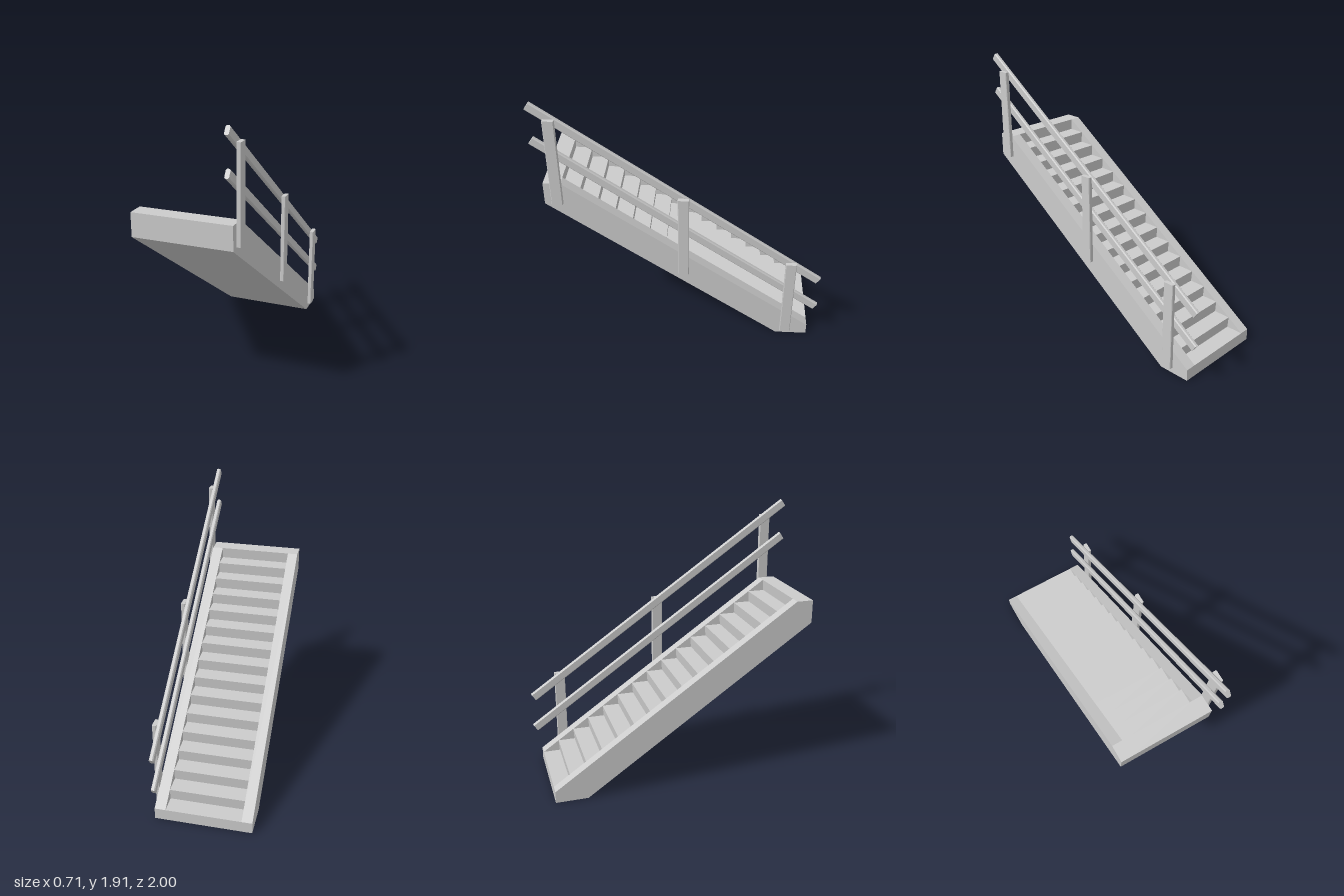
import * as THREE from 'three';

const material = new THREE.MeshStandardMaterial({ color: 0xcccccc, flatShading: true });

// Extrude a (z, y) profile across the width from x0 to x1
function sidePanel(name, points, x0, x1) {
  const shape = new THREE.Shape(points.map(([z, y]) => new THREE.Vector2(z, y)));
  const geo = new THREE.ExtrudeGeometry(shape, { depth: x1 - x0, bevelEnabled: false });
  geo.rotateY(-Math.PI / 2).translate(x1, 0, 0);
  const mesh = new THREE.Mesh(geo, material);
  mesh.name = name;
  return mesh;
}

// Bar running along local z, with chamfered long edges
function bar(name, w, h, length, c) {
  const a = w / 2, b = h / 2;
  const shape = new THREE.Shape([
    [a - c, -b], [a, -b + c], [a, b - c], [a - c, b],
    [-a + c, b], [-a, b - c], [-a, -b + c], [-a + c, -b],
  ].map(([x, y]) => new THREE.Vector2(x, y)));
  const geo = new THREE.ExtrudeGeometry(shape, { depth: length, bevelEnabled: false });
  geo.translate(0, 0, -length / 2);
  const mesh = new THREE.Mesh(geo, material);
  mesh.name = name;
  return mesh;
}

export function createModel() {
  const model = new THREE.Group();
  model.name = 'staircase';

  const zLow = -0.94, zHigh = 0.94, zLanding = 0.82;
  const yFirst = 0.085, yTop = 1.31;
  const xRight = -0.358, xLeft = 0.327, innerRight = -0.283, innerLeft = 0.249;
  const underside = [[zHigh, yTop], [zHigh, 1.145], [-0.71, 0], [zLow, 0], [zLow, yFirst]].reverse();

  // Sloping side stringers
  const stringer = [...underside, [zLanding, yTop]];
  model.add(sidePanel('rightStringer', stringer, xRight, innerRight));
  model.add(sidePanel('leftStringer', stringer, innerLeft, xLeft));

  // Flight of steps sunk between the stringers, ending in the top landing
  const count = 15;
  const run = (zLanding - zLow) / count, rise = (yTop - yFirst) / count;
  const steps = [...underside].reverse();
  for (let i = 0; i < count; i++) {
    const z = zLow + run * (i + 1), y = yFirst + rise * i;
    steps.push([z + 0.006, y], [z, y + rise]);
  }
  model.add(sidePanel('steps', steps, innerRight, innerLeft));

  // Posts on the outside of the left stringer
  [[0.849, 1.155], [-0.01, 0.573], [-0.776, 0.043]].forEach(([z, y]) => {
    const post = bar('post', 0.03, 0.077, 0.647, 0.004);
    post.rotation.x = -Math.PI / 2;
    post.position.set(0.34, y + 0.3235, z);
    model.add(post);
  });

  // Parallel handrail and middle rail
  [['handrail', 1.207], ['middleRail', 0.955]].forEach(([name, y]) => {
    const rail = bar(name, 0.03, 0.061, 2.393, 0.007);
    rail.rotation.x = -Math.atan2(1.365, 1.965);
    rail.position.set(0.31, y, 0);
    model.add(rail);
  });

  return model;
}
